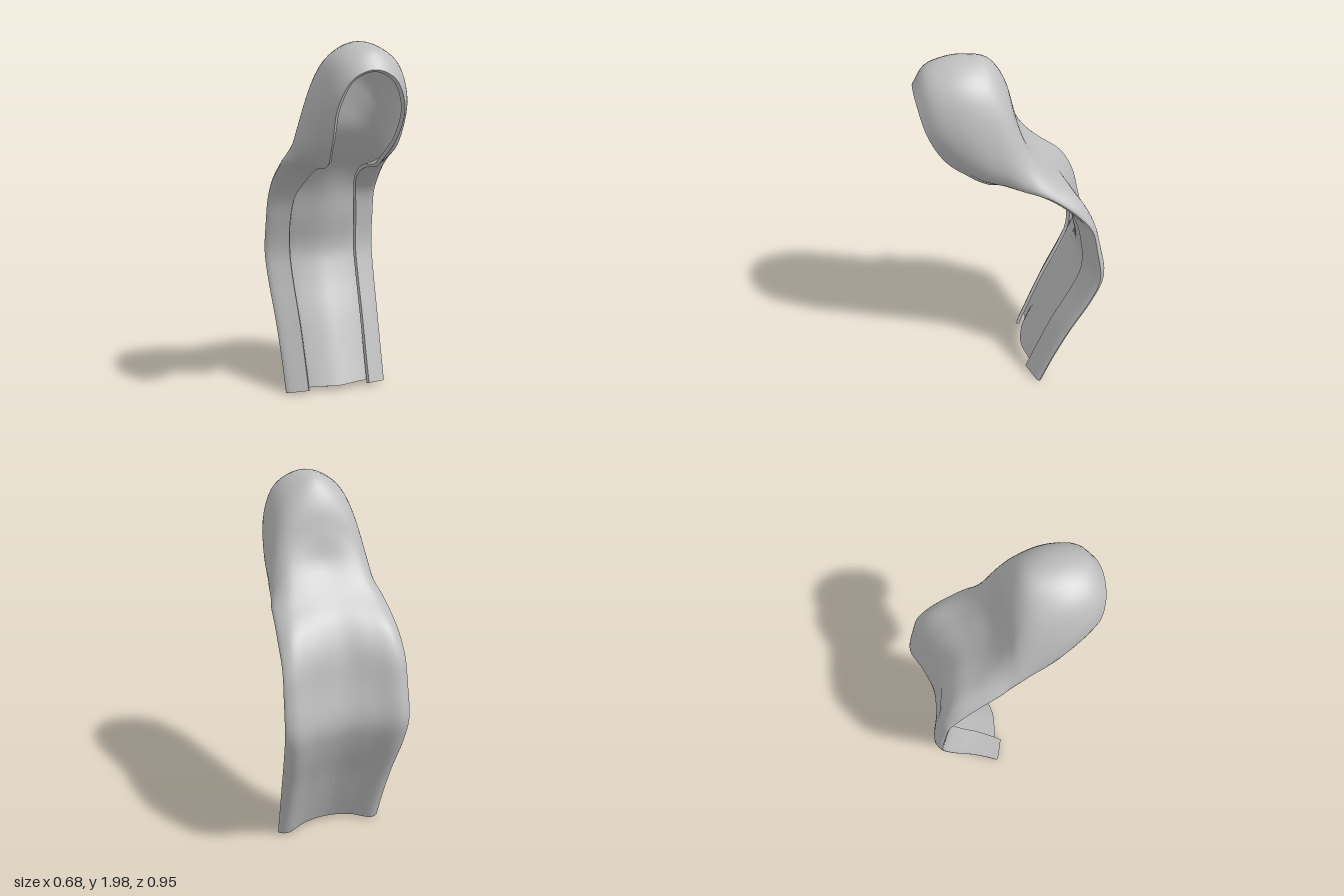
import * as THREE from 'three';
import { toCreasedNormals } from 'three/addons/utils/BufferGeometryUtils.js';

const V = (x, y, z) => new THREE.Vector3(x, y, z);
const THICKNESS = 0.02;

// Half cross-sections from centre parting out to the curled-in edge: [x, y, z] x 5
const crown = [
  [0, 1.86, 0.48, 0.11, 1.815, 0.468, 0.175, 1.68, 0.43, 0.172, 1.52, 0.345, 0.145, 1.385, 0.2],
  [0, 1.95, 0.42, 0.14, 1.89, 0.405, 0.215, 1.72, 0.365, 0.21, 1.52, 0.285, 0.145, 1.365, 0.165],
  [0, 1.99, 0.32, 0.155, 1.92, 0.31, 0.24, 1.73, 0.27, 0.235, 1.48, 0.21, 0.145, 1.35, 0.13],
  [0, 2.0, 0.22, 0.16, 1.92, 0.21, 0.25, 1.7, 0.185, 0.25, 1.45, 0.14, 0.145, 1.345, 0.1],
  [0, 1.98, 0.11, 0.155, 1.88, 0.1, 0.25, 1.66, 0.09, 0.262, 1.43, 0.075, 0.145, 1.34, 0.06],
  [0, 1.87, 0.03, 0.15, 1.785, 0.025, 0.25, 1.6, 0.02, 0.275, 1.41, 0.02, 0.14, 1.335, 0.03],
];
const nape = [
  [0, 1.71, -0.015, 0.14, 1.66, -0.02, 0.245, 1.52, -0.045, 0.287, 1.385, -0.04, 0.14, 1.33, -0.01],
  [0, 1.56, -0.055, 0.14, 1.54, -0.075, 0.25, 1.45, -0.11, 0.305, 1.37, -0.1, 0.14, 1.32, -0.05],
  [0, 1.44, -0.15, 0.15, 1.425, -0.165, 0.265, 1.37, -0.2, 0.315, 1.32, -0.19, 0.14, 1.295, -0.115],
  [0, 1.32, -0.26, 0.15, 1.305, -0.29, 0.275, 1.27, -0.325, 0.325, 1.23, -0.3, 0.155, 1.225, -0.225],
  [0, 1.18, -0.33, 0.15, 1.17, -0.365, 0.28, 1.145, -0.4, 0.33, 1.13, -0.38, 0.185, 1.14, -0.305],
];
// Long fall down the back: [y, rearmost z, half width, depth of the curled edge]
const fall = [
  [1.0, -0.44, 0.335, 0.09], [0.8, -0.475, 0.34, 0.11], [0.65, -0.43, 0.335, 0.115],
  [0.42, -0.32, 0.32, 0.11], [0.2, -0.225, 0.31, 0.1], [0.03, -0.155, 0.305, 0.09],
];

function halfSections() {
  const rows = [...crown, ...nape].map((r) =>
    [0, 3, 6, 9, 12].map((i) => V(r[i], r[i + 1], r[i + 2])));
  for (const [y, z, w, d] of fall) {
    const hem = y < 0.1 ? 0.01 : 0;
    rows.push([
      V(0, y + hem, z + 0.07), V(w * 0.45, y + hem, z + 0.042), V(w * 0.84, y - hem, z),
      V(w, y - hem, z + d * 0.3), V(w * 0.61, y + hem, z + d),
    ]);
  }
  return rows;
}

// Smooth shell lofted through the mirrored cross-sections
function hairGeometry(cols, steps) {
  const full = halfSections().map((half) => [
    ...half.slice(1).reverse().map((p) => V(-p.x, p.y, p.z)), ...half,
  ]);
  // strands run lengthwise, then each row is splined across them
  const strands = full[0].map((_, i) => new THREE.CatmullRomCurve3(full.map((r) => r[i])));
  const pos = [];
  const index = [];
  const quad = (a, b, c, d) => index.push(a, b, d, b, c, d);
  const at = (i, j) => j * (cols + 1) + i;
  for (let j = 0; j <= steps; j++) {
    const row = new THREE.CatmullRomCurve3(strands.map((s) => s.getPoint(j / steps)));
    for (let i = 0; i <= cols; i++) pos.push(...row.getPoint(i / cols).toArray());
  }
  for (let j = 0; j < steps; j++) {
    for (let i = 0; i < cols; i++) quad(at(i, j), at(i + 1, j), at(i + 1, j + 1), at(i, j + 1));
  }
  const geo = new THREE.BufferGeometry();
  geo.setAttribute('position', new THREE.Float32BufferAttribute(pos, 3));
  geo.setIndex(index);
  geo.computeVertexNormals();

  // inner lining, offset along the outer normals
  const normals = geo.attributes.normal.array;
  const count = pos.length / 3;
  const all = [...pos, ...pos.map((p, k) => p - normals[k] * THICKNESS)];
  for (let k = 0, n = index.length; k < n; k += 3) {
    index.push(index[k] + count, index[k + 2] + count, index[k + 1] + count);
  }
  // rim, hem and side edges join both layers
  const join = (a, b) => quad(a, b, b + count, a + count);
  for (let i = 0; i < cols; i++) {
    join(at(i + 1, 0), at(i, 0));
    join(at(i, steps), at(i + 1, steps));
  }
  for (let j = 0; j < steps; j++) {
    join(at(0, j), at(0, j + 1));
    join(at(cols, j + 1), at(cols, j));
  }
  geo.setAttribute('position', new THREE.Float32BufferAttribute(all, 3));
  geo.deleteAttribute('normal');
  geo.setIndex(index);
  return toCreasedNormals(geo, 0.8);
}

export function createModel() {
  const group = new THREE.Group();
  group.name = 'longHair';
  const grey = new THREE.MeshStandardMaterial({ color: 0xbfbfbf, side: THREE.DoubleSide });
  grey.name = 'hairGrey';
  const hair = new THREE.Mesh(hairGeometry(48, 64), grey);
  hair.name = 'hairShell';
  group.add(hair);
  return group;
}
